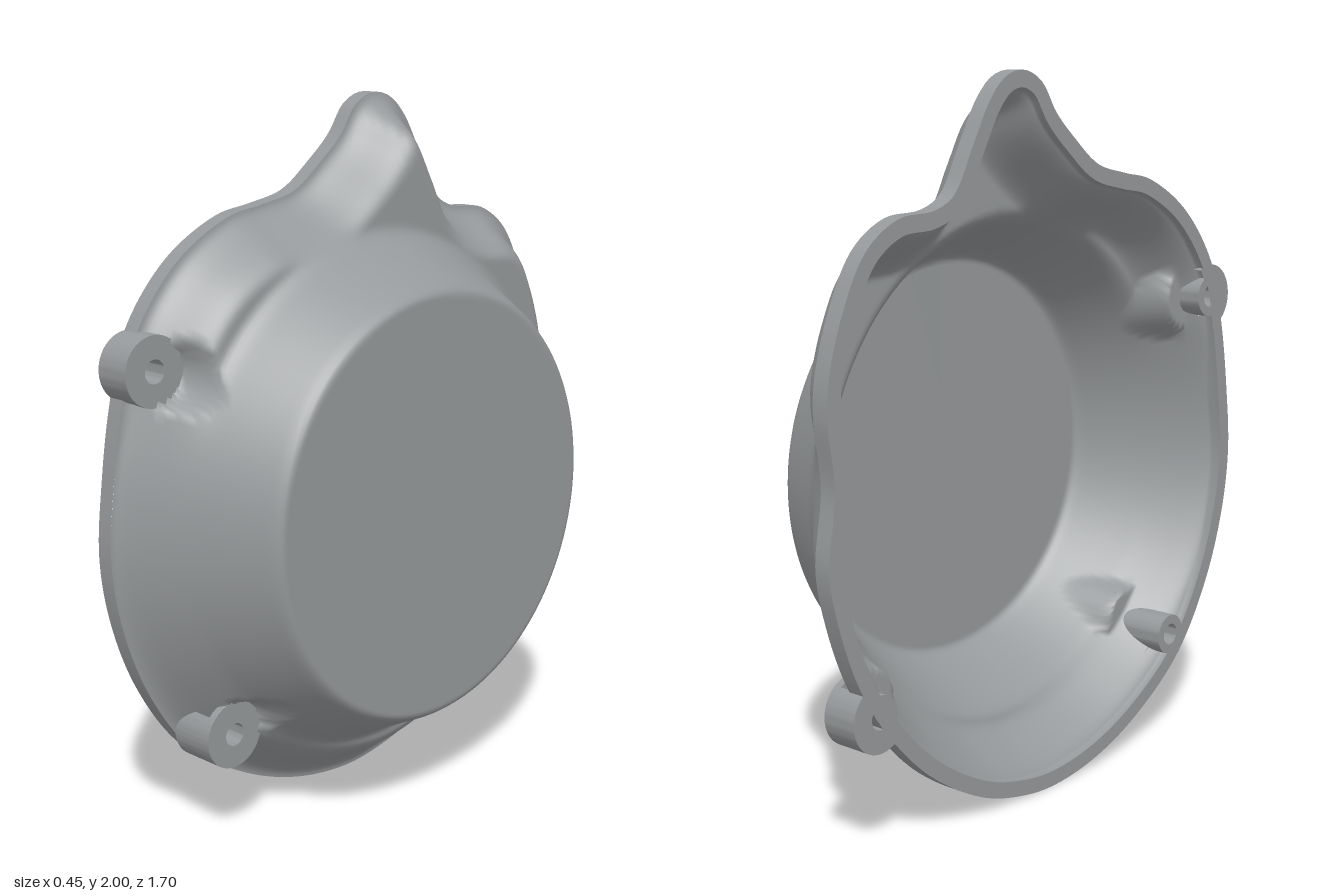
import * as THREE from 'three';
import { toCreasedNormals } from 'three/addons/utils/BufferGeometryUtils.js';

const BACK = -0.225, LIP = -0.175, SHOULDER = -0.02, FACE = 0.225;
const CZ = 0.02, CY = 0.9;            // dome centre
const COUNT = 260, RINGS = 40, WALL = 0.045;

// Rim outline as [z, y], from the bottom round by +z
const OUTLINE = [
  [0, 0], [0.2, 0.03], [0.4, 0.11], [0.6, 0.25], [0.74, 0.45], [0.82, 0.66], [0.848, 0.85],
  [0.83, 1.05], [0.795, 1.25], [0.74, 1.43], [0.6, 1.6], [0.42, 1.7], [0.3, 1.722], [0.18, 1.75],
  [0.08, 1.82], [0, 1.89], [-0.06, 1.97], [-0.13, 2], [-0.2, 1.985], [-0.26, 1.93], [-0.33, 1.81],
  [-0.4, 1.69], [-0.47, 1.655], [-0.6, 1.64], [-0.71, 1.57], [-0.79, 1.43], [-0.84, 1.27],
  [-0.846, 1.17], [-0.825, 1], [-0.848, 0.8], [-0.82, 0.66], [-0.75, 0.48], [-0.65, 0.33],
  [-0.5, 0.18], [-0.3, 0.06], [-0.15, 0.015],
];

// Screw bosses: centre and height of the seat
const BOSSES = [
  { z: 0.73, y: 1.34, top: -0.12 },
  { z: 0.56, y: 0.32, top: -0.04 },
  { z: -0.68, y: 0.39, top: -0.12 },
];

const rim = new THREE.CatmullRomCurve3(OUTLINE.map(([z, y]) => new THREE.Vector3(0, y, z)), true)
  .getSpacedPoints(COUNT).slice(0, COUNT).map((p) => ({ z: p.z, y: p.y }));

// Rim moved inwards by a constant wall thickness
const innerRim = rim.map((p, i) => {
  const a = rim[(i + COUNT - 1) % COUNT], b = rim[(i + 1) % COUNT];
  const dz = b.z - a.z, dy = b.y - a.y, l = Math.hypot(dz, dy);
  return { z: p.z - (dy / l) * WALL, y: p.y + (dz / l) * WALL };
});

function rimDistance(z, y) {
  let best = Infinity;
  for (let i = 0; i < COUNT; i++) {
    const a = rim[i], b = rim[(i + 1) % COUNT];
    const ez = b.z - a.z, ey = b.y - a.y;
    const t = Math.min(1, Math.max(0, ((z - a.z) * ez + (y - a.y) * ey) / (ez * ez + ey * ey)));
    best = Math.min(best, Math.hypot(z - a.z - t * ez, y - a.y - t * ey));
  }
  return best;
}

function smoothMax(a, b, k) {
  const h = Math.max(0, k - Math.abs(a - b));
  return Math.max(a, b) + (h * h) / (4 * k);
}

// Height of the cover: shoulder that follows the rim, round dome, scoops at the bosses
function height(z, y, inside) {
  const d = Math.max(0, rimDistance(z, y) - (inside ? 0.03 : 0));
  const rho = Math.hypot(z - CZ, y - CY) + (inside ? 0.02 : 0);
  const shoulder = LIP + (SHOULDER - LIP) * THREE.MathUtils.smoothstep(d, 0, 0.15);
  const cone = 0.23 - (rho - 0.6) * 2;
  const dome = -smoothMax(-FACE, -cone, 0.03);
  let h = smoothMax(shoulder, dome, 0.05);
  for (const b of BOSSES) {
    const q = Math.hypot(z - b.z, y - b.y) - (inside ? 0.12 : 0.095);
    h = Math.min(h, b.top + Math.max(0, q) * 4);
  }
  return inside ? h - 0.035 : h;
}

// Skin between closed loops of [x, y, z] points, left open at the screw holes
function loft(loops, flip, cut) {
  const pos = loops.flat(2), index = [];
  const inHole = (...ids) => cut && BOSSES.some((b) => {
    const y = ids.reduce((s, i) => s + pos[i * 3 + 1], 0) / 3;
    const z = ids.reduce((s, i) => s + pos[i * 3 + 2], 0) / 3;
    return Math.hypot(z - b.z, y - b.y) < 0.05;
  });
  const tri = (a, b, c) => {
    if (!inHole(a, b, c)) index.push(a, flip ? c : b, flip ? b : c);
  };
  for (let i = 0; i < loops.length - 1; i++) {
    for (let j = 0; j < COUNT; j++) {
      const k = (j + 1) % COUNT;
      const a = i * COUNT + j, b = i * COUNT + k;
      tri(a, b, a + COUNT);
      tri(b, b + COUNT, a + COUNT);
    }
  }
  const g = new THREE.BufferGeometry();
  g.setAttribute('position', new THREE.Float32BufferAttribute(pos, 3));
  g.setIndex(index);
  g.computeVertexNormals();
  return g;
}

const flatLoop = (points, x) => points.map((p) => [x, p.y, p.z]);

// Loops from an edge to the flat round face
function coverLoops(edge, inside) {
  const loops = [];
  for (let r = 0; r <= RINGS; r++) {
    const t = r / RINGS;
    loops.push(edge.map((p) => {
      const l = Math.hypot(p.z - CZ, p.y - CY), s = THREE.MathUtils.lerp(1, 0.56 / l, t);
      const z = CZ + (p.z - CZ) * s, y = CY + (p.y - CY) * s;
      return [height(z, y, inside), y, z];
    }));
  }
  const x = inside ? FACE - 0.035 : FACE;
  loops.push(edge.map(() => [x, CY, CZ]));
  return loops;
}

// Ring with a screw hole, along x
function ring(radius, x0, x1, start = 0, length = Math.PI * 2) {
  const hole = 0.032;
  const profile = [[hole, x0], [radius, x0], [radius, x1], [hole, x1], [hole, x0]]
    .map(([r, x]) => new THREE.Vector2(r, x));
  const g = new THREE.LatheGeometry(profile, 40, start, length);
  g.rotateZ(-Math.PI / 2);
  return toCreasedNormals(g, 0.6);
}

export function createModel() {
  const group = new THREE.Group();
  const metal = new THREE.MeshStandardMaterial({ color: 0x96999b });
  metal.name = 'castGrey';
  const add = (name, geometry, parent = group) => {
    const mesh = new THREE.Mesh(geometry, metal);
    mesh.name = name;
    parent.add(mesh);
    return mesh;
  };

  // Shell
  add('outerCover', loft(coverLoops(rim, false), true, true));
  add('innerCover', loft([flatLoop(innerRim, BACK), ...coverLoops(innerRim, true)], false, true));
  add('flangeEdge', loft([flatLoop(rim, BACK), flatLoop(rim, LIP)], true));
  add('matingFace', loft([flatLoop(rim, BACK), flatLoop(innerRim, BACK)], false));

  // Screw bosses: seat, inner pillar and the half that bulges past the rim
  BOSSES.forEach((b, i) => {
    const boss = new THREE.Group();
    boss.name = `screwBoss${i + 1}`;
    boss.position.set(0, b.y, b.z);
    const out = Math.atan2(-(b.y - CY), b.z - CZ);
    add('seat', ring(0.095, b.top - 0.02, b.top + 0.002), boss);
    add('pillar', ring(0.06, BACK, b.top), boss);
    add('outerHalf', ring(0.095, i === 1 ? LIP : BACK, b.top, out - Math.PI / 2, Math.PI), boss);
    group.add(boss);
  });
  return group;
}
